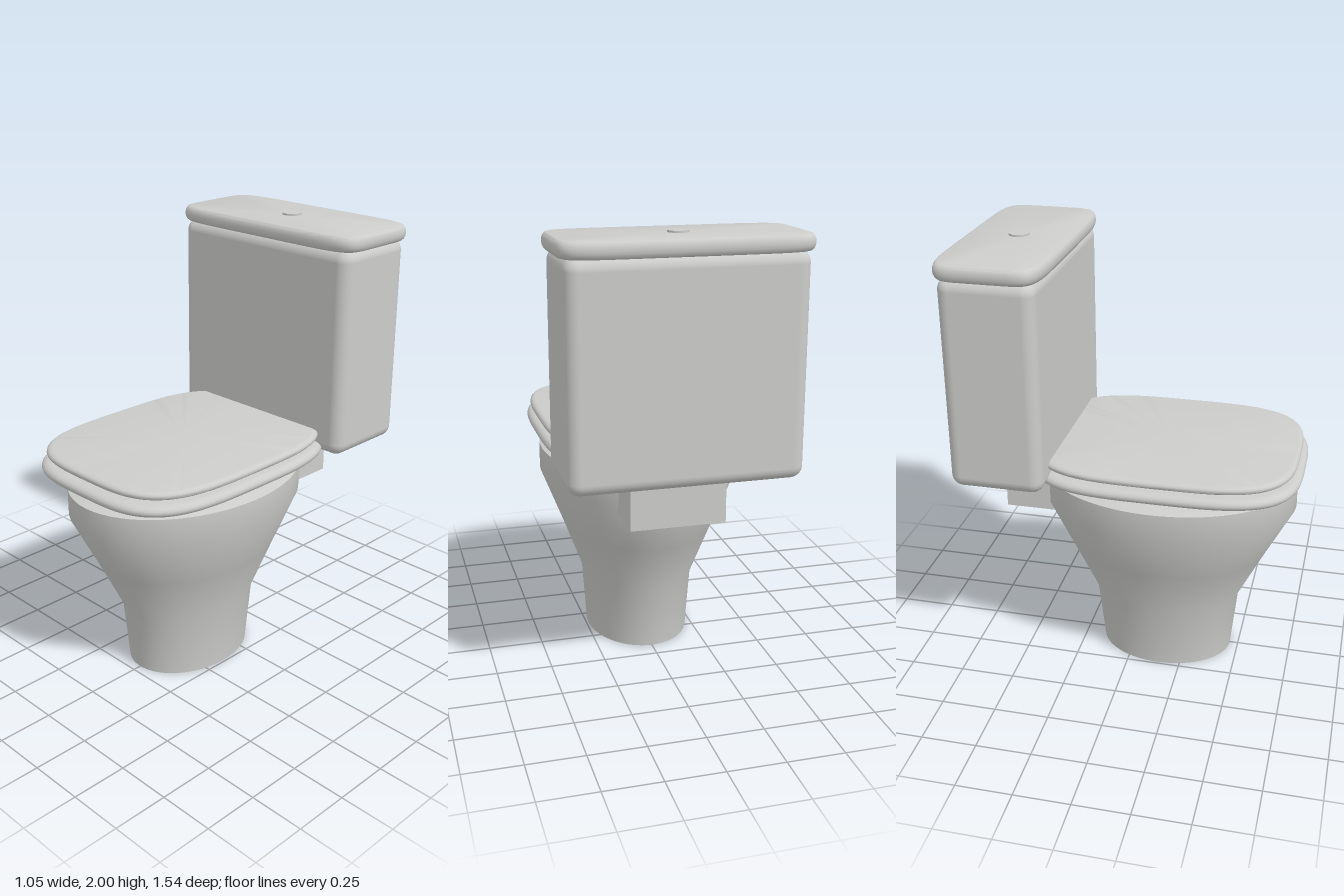
import * as THREE from 'three';
import { toCreasedNormals } from 'three/addons/utils/BufferGeometryUtils.js';
import { RoundedBoxGeometry } from 'three/addons/geometries/RoundedBoxGeometry.js';

const SEG = 96;

// Closed solid from stacked superellipse rings: [y, half width, back z, front z]
function loft(rings, power) {
  const pos = [], index = [];
  const bend = (v) => Math.sign(v) * Math.pow(Math.abs(v), 2 / power);
  for (const [y, a, back, front] of rings) {
    const cz = (front + back) / 2, b = (front - back) / 2;
    for (let j = 0; j < SEG; j++) {
      const t = (j / SEG) * Math.PI * 2;
      pos.push(a * bend(Math.cos(t)), y, cz + b * bend(Math.sin(t)));
    }
  }
  for (let i = 0; i < rings.length - 1; i++) {
    for (let j = 0; j < SEG; j++) {
      const k = (j + 1) % SEG;
      const p = i * SEG + j, q = i * SEG + k;
      index.push(p, p + SEG, q, q, p + SEG, q + SEG);
    }
  }
  // End caps
  const last = rings.length - 1;
  const centre = (r) => pos.push(0, r[0], (r[2] + r[3]) / 2) / 3 - 1;
  const c0 = centre(rings[0]), c1 = centre(rings[last]);
  for (let j = 0; j < SEG; j++) {
    const k = (j + 1) % SEG;
    index.push(c0, j, k, c1, last * SEG + k, last * SEG + j);
  }
  const g = new THREE.BufferGeometry();
  g.setAttribute('position', new THREE.Float32BufferAttribute(pos, 3));
  g.setIndex(index);
  return toCreasedNormals(g, 0.75);
}

// Flat slab with a rounded rim
function slab(y0, y1, halfWidth, back, front, power, rim) {
  const rings = [], n = 8, mid = (y0 + y1) / 2, h = (y1 - y0) / 2;
  for (let i = 0; i <= n; i++) {
    const t = -Math.PI / 2 + (i / n) * Math.PI;
    const inset = rim * (1 - Math.cos(t));
    rings.push([mid + h * Math.sin(t), halfWidth - inset, back + inset, front - inset]);
  }
  return loft(rings, power);
}

export function createModel() {
  const group = new THREE.Group();
  const ceramic = new THREE.MeshStandardMaterial({ color: 0xcccccA });
  ceramic.name = 'ceramic';
  const add = (name, geometry, x = 0, y = 0, z = 0) => {
    const mesh = new THREE.Mesh(geometry, ceramic);
    mesh.name = name;
    mesh.position.set(x, y, z);
    group.add(mesh);
  };

  // Pedestal flaring into the bowl
  add('bowl', loft([
    [0, 0.24, -0.165, 0.46],
    [0.3, 0.26, -0.2, 0.49],
    [0.55, 0.352, -0.32, 0.612],
    [0.8, 0.45, -0.44, 0.74],
    [0.925, 0.45, -0.44, 0.74],
    [0.95, 0.38, -0.36, 0.66],
    [0.975, 0.1, -0.02, 0.32],
  ], 2));

  // Block joining the bowl to the tank
  add('tankSupport', new THREE.BoxGeometry(0.42, 0.225, 0.32), 0, 0.8725, -0.42);

  // Seat and its cover
  add('seat', slab(0.98, 1.032, 0.475, -0.45, 0.77, 3.5, 0.035));
  add('seatCover', slab(1.05, 1.088, 0.46, -0.43, 0.745, 3.5, 0.025));

  // Water tank, tank lid and flush button
  add('tank', new RoundedBoxGeometry(1, 0.95, 0.42, 6, 0.055), 0, 1.455, -0.53);
  add('tankLid', slab(1.922, 1.992, 0.525, -0.77, -0.295, 7, 0.02));
  add('flushButton', new THREE.CylinderGeometry(0.045, 0.045, 0.02, 32), 0, 1.99, -0.535);

  return group;
}
